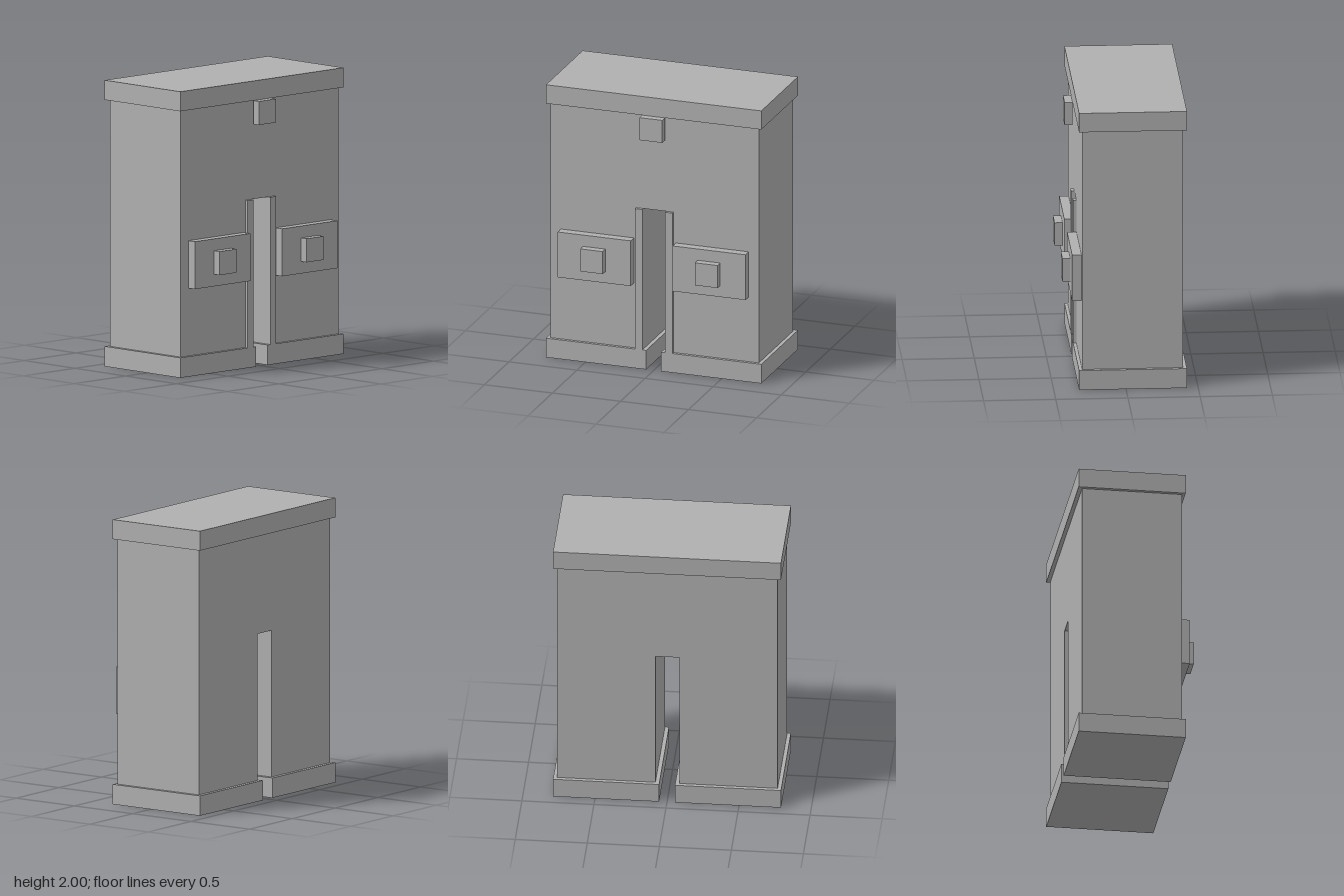
import * as THREE from 'three';

export function createModel() {
  const group = new THREE.Group();
  const stone = new THREE.MeshStandardMaterial({ color: 0xb0b0b0 });
  stone.name = 'grey stone';

  const add = (name, geometry) => {
    const mesh = new THREE.Mesh(geometry, stone);
    mesh.name = name;
    group.add(mesh);
    return mesh;
  };

  // box given by its extents on each axis
  const box = (name, [x0, x1], [y0, y1], [z0, z1]) =>
    add(name, new THREE.BoxGeometry(x1 - x0, y1 - y0, z1 - z0))
      .position.set((x0 + x1) / 2, (y0 + y1) / 2, (z0 + z1) / 2);

  // body: an upright block with a slot cut up from the bottom
  const outline = new THREE.Shape([
    [-0.765, 0.14], [-0.083, 0.14], [-0.083, 1.17], [0.083, 1.17],
    [0.083, 0.14], [0.765, 0.14], [0.765, 1.863], [-0.765, 1.863],
  ].map(([x, y]) => new THREE.Vector2(x, y)));
  add('body', new THREE.ExtrudeGeometry(outline, { depth: 0.697, bevelEnabled: false }))
    .position.z = -0.395;

  // top slab and the small block under its front edge
  box('cap', [-0.791, 0.791], [1.863, 2], [-0.422, 0.325]);
  box('frontBlock', [-0.083, 0.083], [1.698, 1.863], [0.325, 0.38]);

  // mirrored parts on each side of the slot
  for (const [side, s] of [['left', 1], ['right', -1]]) {
    const span = (a, b) => (s > 0 ? [a, b] : [-b, -a]);
    box(side + 'Foot', span(0.055, 0.791), [0, 0.14], [-0.422, 0.325]);
    box(side + 'SlotTrim', span(0.083, 0.138), [0.14, 1.17], [0.302, 0.325]);
    box(side + 'Panel', span(0.154, 0.69), [0.614, 0.946], [0.302, 0.367]);
    box(side + 'Knob', span(0.339, 0.504), [0.698, 0.863], [0.367, 0.422]);
  }

  return group;
}
